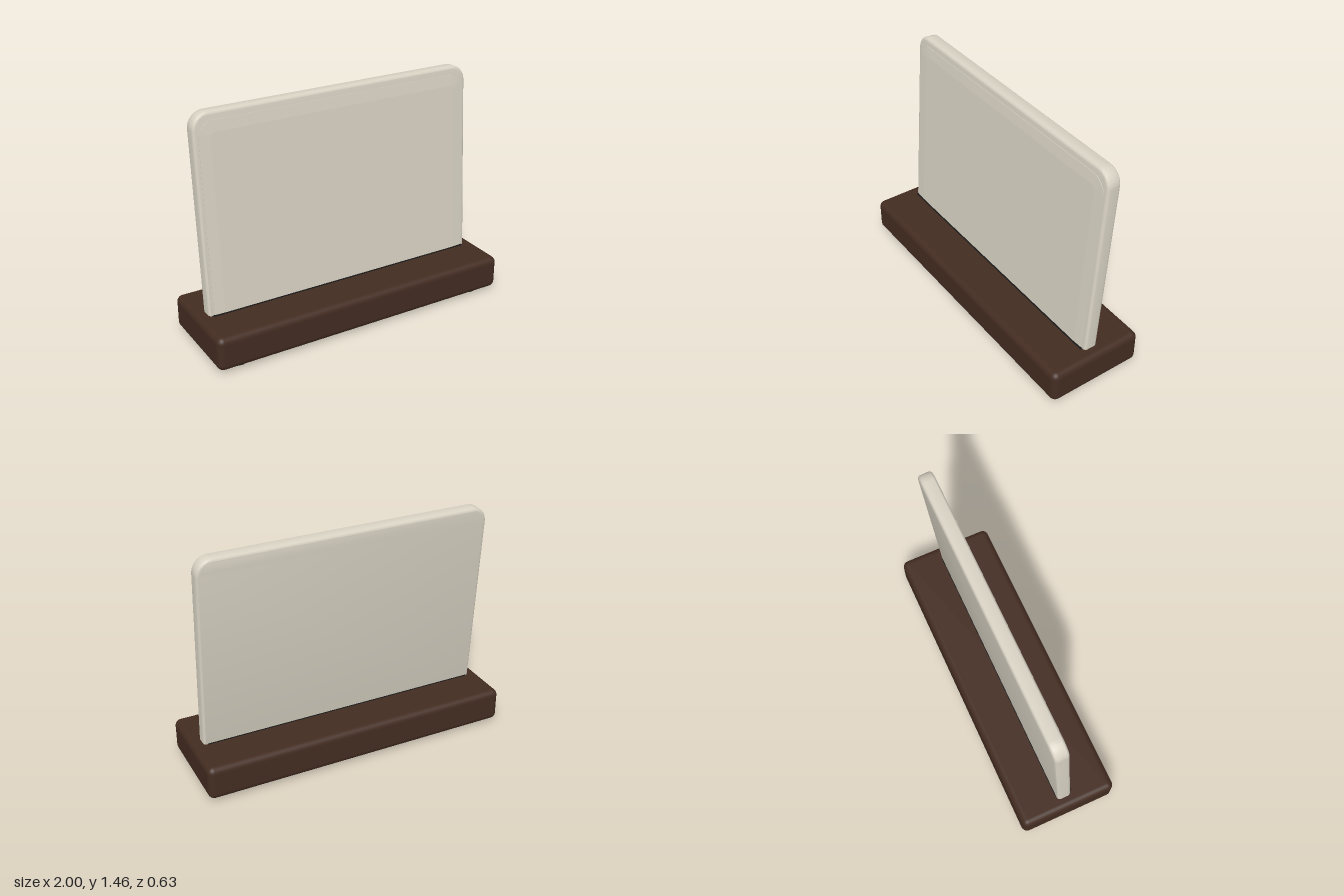
import * as THREE from 'three';
import { toCreasedNormals } from 'three/addons/utils/BufferGeometryUtils.js';
import { RoundedBoxGeometry } from 'three/addons/geometries/RoundedBoxGeometry.js';

// Upright plate outline: square bottom corners, rounded top corners
function plateShape(halfWidth, bottom, top, r) {
  const s = new THREE.Shape();
  s.moveTo(-halfWidth, bottom);
  s.lineTo(halfWidth, bottom);
  s.lineTo(halfWidth, top - r);
  s.absarc(halfWidth - r, top - r, r, 0, Math.PI / 2, false);
  s.lineTo(-halfWidth + r, top);
  s.absarc(-halfWidth + r, top - r, r, Math.PI / 2, Math.PI, false);
  s.closePath();
  return s;
}

export function createModel() {
  const model = new THREE.Group();
  model.name = 'tabletOnStand';

  const material = (name, color) => {
    const m = new THREE.MeshStandardMaterial({ color });
    m.name = name;
    return m;
  };
  const wood = material('darkWood', 0x432c21);
  const cream = material('creamShell', 0xd8d2c3);
  const dark = material('slotBlack', 0x1a1a1a);
  const rubber = material('footRubber', 0x1c2b24);

  const add = (parent, name, geometry, mat, x = 0, y = 0, z = 0) => {
    const mesh = new THREE.Mesh(geometry, mat);
    mesh.name = name;
    mesh.position.set(x, y, z);
    parent.add(mesh);
    return mesh;
  };

  // Wooden base with softened edges and a dark slot lining
  add(model, 'base', new RoundedBoxGeometry(2, 0.216, 0.63, 5, 0.04), wood, 0, 0.126, 0);
  add(model, 'slotLining', new THREE.BoxGeometry(1.81, 0.008, 0.11), dark, 0, 0.234, 0);

  // Round feet under the corners
  for (const x of [-0.84, 0.84]) {
    for (const z of [-0.21, 0.21]) {
      add(model, 'foot', new THREE.CylinderGeometry(0.058, 0.058, 0.024, 32), rubber, x, 0.012, z);
    }
  }

  // Slab leaning back in the slot
  const tablet = new THREE.Group();
  tablet.name = 'tablet';
  tablet.position.set(0, 0.235, -0.005);
  tablet.rotation.x = -0.07;
  model.add(tablet);

  const shell = new THREE.ExtrudeGeometry(plateShape(0.93, -0.12, 1.226, 0.1), {
    depth: 0.05, bevelThickness: 0.02, bevelSize: 0.02, bevelOffset: -0.02,
    bevelSegments: 5, curveSegments: 12,
  });
  add(tablet, 'shell', toCreasedNormals(shell, 0.6), cream, 0, 0, -0.025);

  // Slightly raised front panel with a shallow sloped border
  const panel = new THREE.ExtrudeGeometry(plateShape(0.9, -0.1, 1.175, 0.1), {
    depth: 0.003, bevelThickness: 0.004, bevelSize: 0.07, bevelOffset: -0.07,
    bevelSegments: 1, curveSegments: 12,
  });
  add(tablet, 'frontPanel', toCreasedNormals(panel, 0.02), cream, 0, 0, 0.045);

  return model;
}
